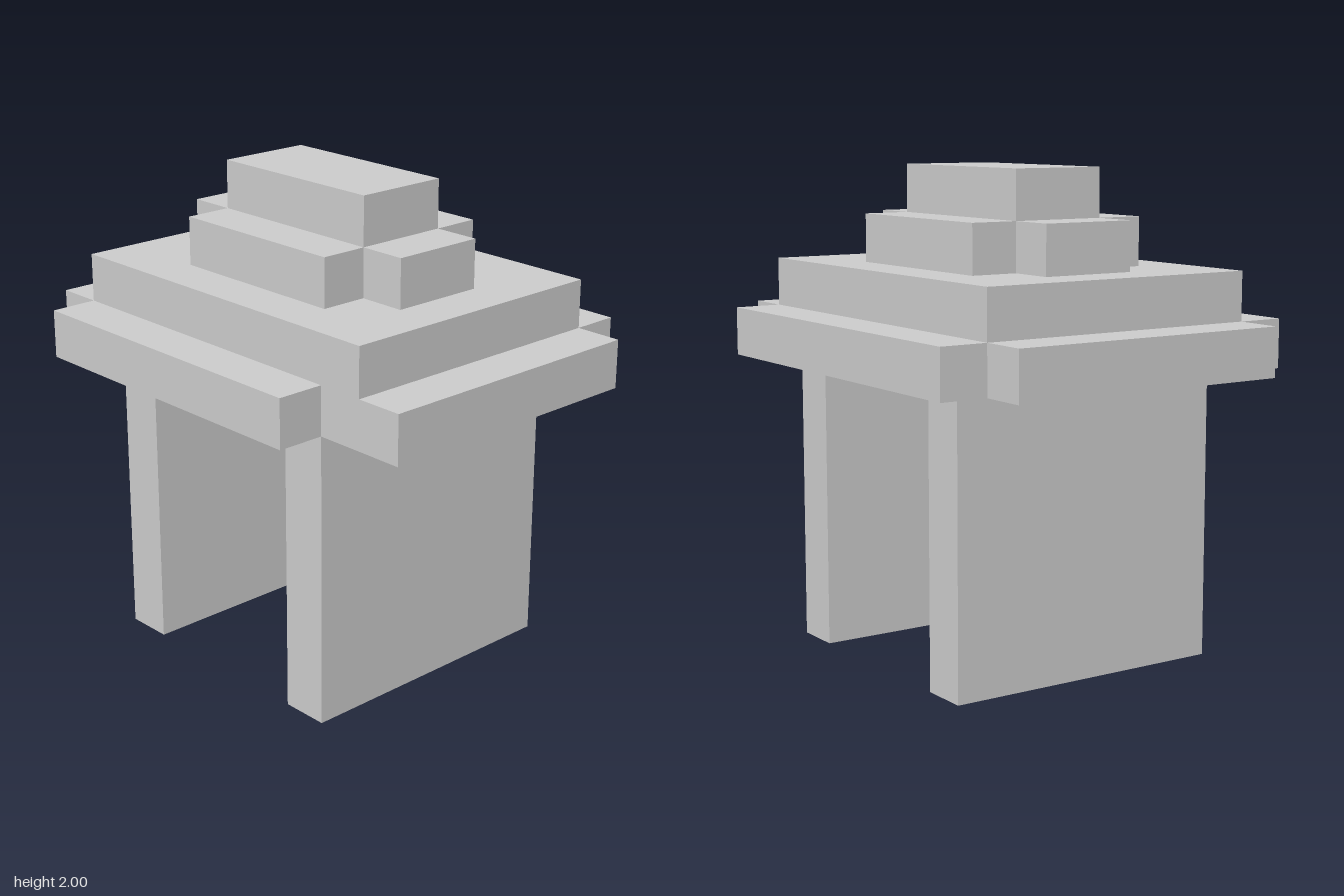
import * as THREE from 'three';

const material = new THREE.MeshStandardMaterial({ color: 0xcccccc, flatShading: true });
const TIER = 0.2;

// Flat tier from a plan outline of [x, z] corners, standing on height y
function tier(name, y, outline) {
  const shape = new THREE.Shape(outline.map(([x, z]) => new THREE.Vector2(x, -z)));
  const geometry = new THREE.ExtrudeGeometry(shape, { depth: TIER, bevelEnabled: false });
  geometry.rotateX(-Math.PI / 2);
  const mesh = new THREE.Mesh(geometry, material);
  mesh.name = name;
  mesh.position.y = y;
  return mesh;
}

// Rectangle with half sizes
const rect = (x, z) => [[-x, z], [x, z], [x, -z], [-x, -z]];

// Rectangle with notched corners; frontRight sets where the front strip ends on +x
const cross = (x, z, nx, nz, frontRight = nx) => [
  [-nx, z], [frontRight, z], [frontRight, nz], [x, nz],
  [x, -nz], [nx, -nz], [nx, -z], [-nx, -z],
  [-nx, -nz], [-x, -nz], [-x, nz], [-nx, nz],
];

export function createModel() {
  const group = new THREE.Group();
  group.name = 'steppedRoofShelter';

  // Two side walls
  for (const side of [-1, 1]) {
    const wall = new THREE.Mesh(new THREE.BoxGeometry(0.2, 1.2, 1.2), material);
    wall.name = side > 0 ? 'leftWall' : 'rightWall';
    wall.position.set(side * 0.5, 0.6, 0);
    group.add(wall);
  }

  // Stepped roof, from the eaves up; the front eave stops short on +x
  group.add(
    tier('eaves', 1.2, cross(1, 0.8, 0.8, 0.6, 0.6)),
    tier('lowerRoof', 1.4, rect(0.8, 0.6)),
    tier('upperRoof', 1.6, cross(0.6, 0.4, 0.4, 0.2)),
    tier('roofCap', 1.8, rect(0.4, 0.2)),
  );
  return group;
}
